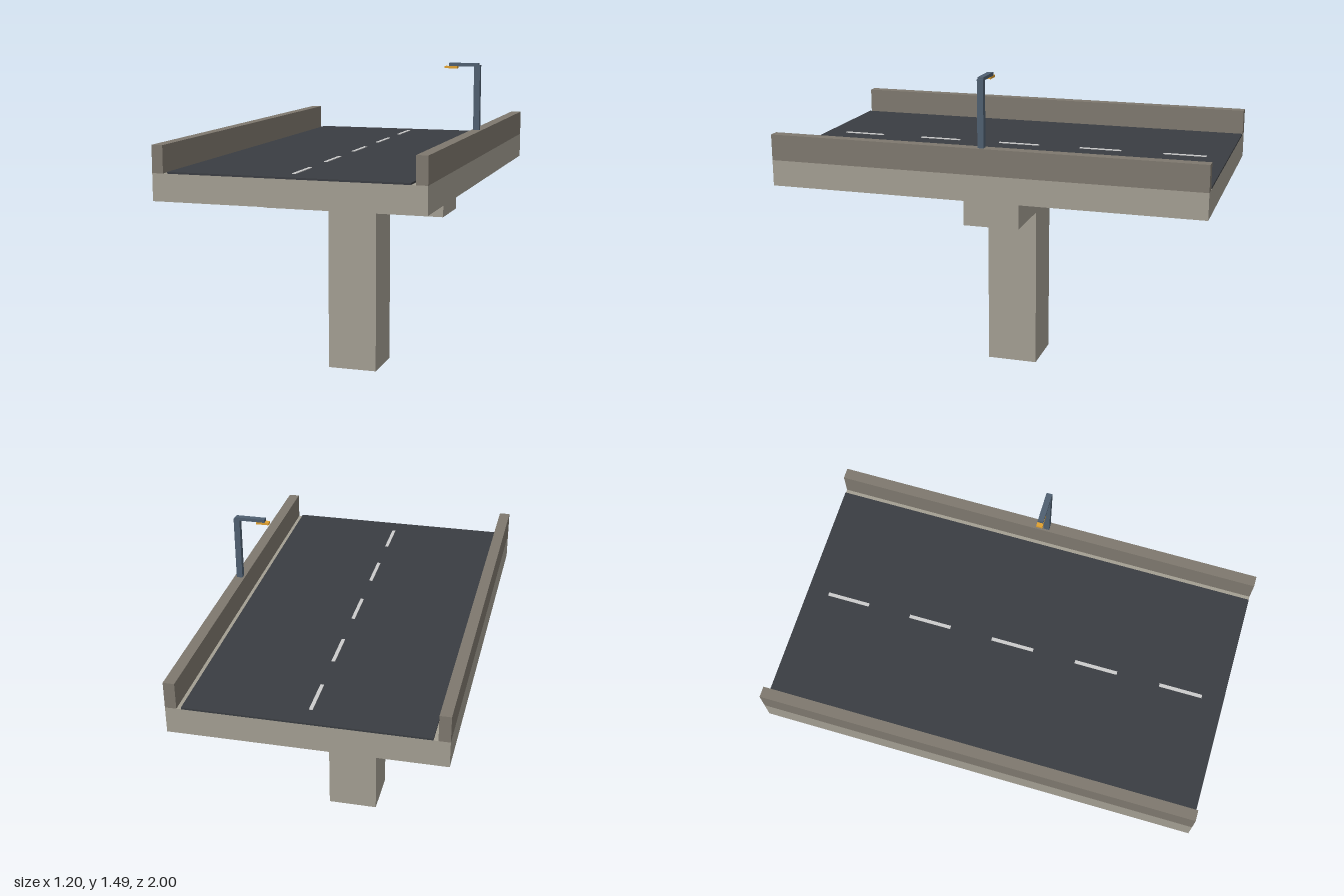
import * as THREE from 'three';

const paint = (color) => new THREE.MeshStandardMaterial({ color });

export function createModel() {
  const group = new THREE.Group();
  const concrete = paint(0xa39e92);
  const darkConcrete = paint(0x7e786e);
  const asphalt = paint(0x3a3d42);
  const white = paint(0xd0d0cc);
  const steel = paint(0x4f5f70);
  const amber = paint(0xe0a030);

  // Box given by its extents along each axis
  function block(name, material, [x0, x1], [y0, y1], [z0, z1]) {
    const mesh = new THREE.Mesh(new THREE.BoxGeometry(x1 - x0, y1 - y0, z1 - z0), material);
    mesh.position.set((x0 + x1) / 2, (y0 + y1) / 2, (z0 + z1) / 2);
    mesh.name = name;
    group.add(mesh);
  }

  // Support and deck
  block('pierColumn', concrete, [-0.12, 0.12], [0, 0.78], [-0.12, 0.12]);
  block('pierCap', concrete, [-0.45, 0.45], [0.78, 0.94], [-0.13, 0.13]);
  block('deck', concrete, [-0.6, 0.6], [0.94, 1.06], [-1, 1]);
  block('roadSurface', asphalt, [-0.53, 0.53], [1.06, 1.068], [-1, 1]);

  // Side walls
  block('leftParapet', darkConcrete, [0.55, 0.6], [1.06, 1.18], [-1, 1]);
  block('rightParapet', darkConcrete, [-0.6, -0.55], [1.06, 1.18], [-1, 1]);

  // Dashed centre line
  for (let i = -2; i <= 2; i++) {
    block('laneDash', white, [-0.008, 0.008], [1.066, 1.071], [i * 0.4 - 0.1, i * 0.4 + 0.1]);
  }

  // Street lamp on the left parapet
  block('lampPost', steel, [0.56, 0.588], [1.18, 1.482], [-0.014, 0.014]);
  block('lampArm', steel, [0.44, 0.58], [1.475, 1.49], [-0.013, 0.013]);
  block('lampHead', amber, [0.42, 0.48], [1.465, 1.475], [-0.014, 0.014]);

  return group;
}
